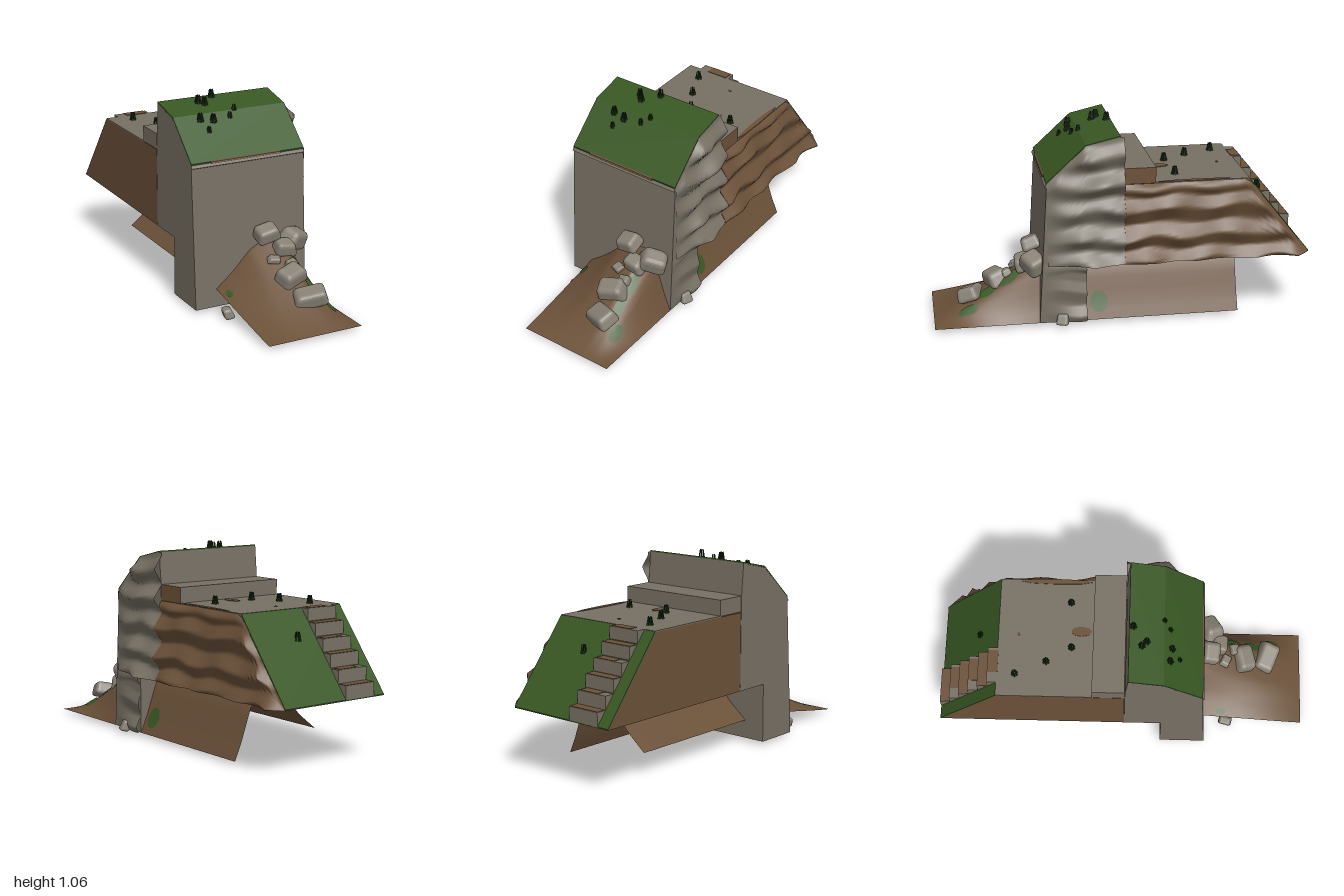
import * as THREE from 'three';
import { RoundedBoxGeometry } from 'three/addons/geometries/RoundedBoxGeometry.js';

const X0 = -0.37, X1 = 0.28, WIDTH = X1 - X0;

// Linear interpolation through [position, value] pairs
function lerpTable(table, p) {
  if (p <= table[0][0]) return table[0][1];
  for (let i = 1; i < table.length; i++) {
    const [a, va] = table[i - 1], [b, vb] = table[i];
    if (p <= b) return va + (vb - va) * (p - a) / (b - a);
  }
  return table[table.length - 1][1];
}

// Height of the ground sheet: a ridge along z that runs out at the front
const RIDGE = [[-0.25, 0.12], [-0.15, 0.2], [-0.05, 0.3], [0.05, 0.35], [0.12, 0.36], [0.18, 0.28], [0.24, 0.11], [0.28, 0.02]];
function groundHeight(x, z) {
  const fade = Math.pow(THREE.MathUtils.clamp((1 - z) / 0.58, 0, 1), 1.1);
  return 0.02 + (lerpTable(RIDGE, x) - 0.02) * fade;
}

// Top outline of the rampart along z
const TOP = [[-1, 0.34], [-0.66, 0.765], [0, 0.765], [0.02, 1.02], [0.2, 0.98], [0.405, 0.785], [0.45, 0.765]];

// Grid surface from a rule (u, v) -> [x, y, z]
function gridSurface(nu, nv, rule) {
  const pos = [], index = [];
  for (let j = 0; j <= nv; j++) for (let i = 0; i <= nu; i++) pos.push(...rule(i / nu, j / nv));
  for (let j = 0; j < nv; j++) for (let i = 0; i < nu; i++) {
    const a = j * (nu + 1) + i, b = a + 1, c = a + nu + 1, d = c + 1;
    index.push(a, b, d, a, d, c);
  }
  const g = new THREE.BufferGeometry();
  g.setAttribute('position', new THREE.Float32BufferAttribute(pos, 3));
  g.setIndex(index);
  g.computeVertexNormals();
  return g;
}

// Cross-section of [z, y] points pushed along x
function section(points, x = X0, width = WIDTH) {
  const shape = new THREE.Shape(points.map(([z, y]) => new THREE.Vector2(-z, y)));
  const g = new THREE.ExtrudeGeometry(shape, { depth: width, bevelEnabled: false });
  return g.rotateY(Math.PI / 2).translate(x, 0, 0);
}

export function createModel() {
  const root = new THREE.Group();
  const material = (name, color, side = THREE.FrontSide) => {
    const m = new THREE.MeshStandardMaterial({ color, side });
    m.name = name;
    return m;
  };
  const stone = material('stone', 0x777064, THREE.DoubleSide);
  const earth = material('earth', 0x6b5139, THREE.DoubleSide);
  const grass = material('grass', 0x385723, THREE.DoubleSide);
  const tuftGreen = material('tuftGreen', 0x1c3318);
  const boulderGrey = material('boulderGrey', 0x878074);
  const add = (name, geometry, mat, parent = root) => {
    const mesh = new THREE.Mesh(geometry, mat);
    mesh.name = name;
    parent.add(mesh);
    return mesh;
  };

  // Front wall with parapet, and the earth bank behind it
  add('frontWall', section([[0.45, 0.02], [0.405, 0.765], [0.415, 0.77], [0.405, 0.785], [0.2, 0.975], [0.02, 1.018],
    [0.005, 0.85], [0, 0.34], [0.2, 0.34], [0.2, 0.02]]), stone);
  add('earthBank', section([[0, 0.34], [0, 0.762], [-0.66, 0.762], [-1, 0.34]]), earth);

  // Firing step: stone, with earth showing on the cut end
  add('firingStep', new THREE.BoxGeometry(WIDTH, 0.085, 0.168), [earth, stone, stone, stone, stone, stone])
    .position.set((X0 + X1) / 2, 0.808, -0.082);
  add('walkway', section([[-0.16, 0.762], [-0.16, 0.768], [-0.665, 0.768], [-0.665, 0.762]]), stone);

  // Grass skins on the parapet and on the rear slope
  add('parapetGrass', section([[0.405, 0.785], [0.407, 0.793], [0.2, 0.984], [0.02, 1.026], [0.02, 1.018], [0.2, 0.976]]), grass);
  add('rearGrass', section([[-0.66, 0.762], [-0.664, 0.768], [-1, 0.346], [-1, 0.34]]), grass);
  add('crumbledLip', section([[0.4, 0.785], [0.414, 0.783], [0.411, 0.792], [0.4, 0.798]], -0.26, 0.4), earth);

  // Rear stair: stone risers with worn earth treads
  const stair = new THREE.Group();
  stair.name = 'rearStair';
  root.add(stair);
  for (let i = 0; i < 6; i++) {
    const top = 0.768 - i * 0.0705, back = -0.715 - i * 0.057;
    add('step', new THREE.BoxGeometry(0.19, 0.075, 0.06), stone, stair).position.set(-0.205, top - 0.0375, back + 0.03);
    const w = i % 2 ? 0.186 : 0.12;
    add('wornTread', new THREE.BoxGeometry(w, 0.004, 0.052), earth, stair).position.set(-0.205 + (i % 2 ? 0 : 0.02), top + 0.001, back + 0.029);
  }

  // Broken cut end on the +x side, jutting out in uneven strata
  const PEAKS = [[0.06, 0.04], [0.19, 0.03], [0.345, 0.075], [0.475, 0.07], [0.63, 0.062], [0.77, 0.085], [0.92, 0.06]];
  function jut(y, z, narrow) {
    let out = 0;
    for (const [p, size] of PEAKS) {
      const centre = p + 0.012 * Math.sin(z * 17 + p * 9);
      const fall = Math.max(0, 1 - Math.abs(y - centre) / narrow);
      out = Math.max(out, size * fall * (0.8 + 0.2 * Math.sin(z * 23 + p * 31)));
    }
    return out;
  }
  function cutEnd(name, mat, zFront, zBack, low, high, narrow, fade) {
    add(name, gridSurface(28, 40, (u, v) => {
      const z = zFront + (zBack - zFront) * u;
      const top = high(z), y = low + (top - low) * v;
      const edge = Math.min(1, (top - y) / 0.04);
      return [X1 + 0.001 + jut(y, z, narrow) * edge * fade(z), y, z];
    }), mat);
  }
  const frontFade = z => THREE.MathUtils.clamp((0.43 - z) / 0.2, 0, 1);
  cutEnd('cutStone', stone, 0.405, 0, 0.34, z => z < 0.02 ? 1.018 : lerpTable(TOP, z), 0.07, frontFade);
  cutEnd('cutStoneBase', stone, 0.43, 0.2, 0.02, () => 0.345, 0.06, z => frontFade(z) * 0.9);
  cutEnd('cutEarth', earth, 0, -0.998, 0.34, z => lerpTable(TOP, z), 0.075,
    z => THREE.MathUtils.clamp((z + 1) / 0.07, 0, 1) * (0.85 + 0.15 * Math.cos(z * 6)));

  // Ground ridge running under the wall
  add('ground', gridSurface(26, 50, (u, v) => {
    const x = -0.25 + 0.53 * u, z = 1 - 1.62 * v;
    return [x, groundHeight(x, z), z];
  }), earth);

  // Grass patches lying on the ground
  for (const [x, z, r] of [[0.2, 0.82, 0.035], [-0.225, 0.54, 0.02], [0.14, 0.6, 0.04], [0.15, 0.72, 0.035], [0.245, 0.13, 0.032]]) {
    const g = new THREE.CircleGeometry(r, 12).rotateX(-Math.PI / 2).scale(0.7, 1, 1.5).translate(x, 0, z);
    const p = g.attributes.position;
    for (let i = 0; i < p.count; i++) p.setY(i, groundHeight(p.getX(i), p.getZ(i)) + 0.006);
    g.computeVertexNormals();
    add('grassPatch', g, grass);
  }

  // Bare earth on the walkway and along its broken edge
  for (const [x, z, w, d] of [[-0.01, -0.23, 0.055, 0.11], [0.27, -0.37, 0.03, 0.38], [-0.03, -0.56, 0.02, 0.015]]) {
    add('barePatch', new THREE.CylinderGeometry(0.5, 0.5, 0.004, 8).scale(w, 1, d), earth).position.set(x, 0.769, z);
  }

  // Boulders: position, size, tilt
  const boulders = [
    [0.03, 0.385, 0.47, 0.12, 0.075, 0.1, 0.25], [0.19, 0.33, 0.47, 0.14, 0.1, 0.11, -0.45],
    [0.11, 0.31, 0.52, 0.11, 0.075, 0.09, -0.1], [0.025, 0.27, 0.56, 0.06, 0.028, 0.05, 0.05],
    [0.1, 0.25, 0.61, 0.06, 0.04, 0.05, 0.1], [0.065, 0.21, 0.665, 0.15, 0.095, 0.11, 0.08],
    [0.095, 0.14, 0.8, 0.17, 0.08, 0.11, 0.32], [-0.25, 0.032, 0.57, 0.05, 0.055, 0.07, 0.2],
    [-0.07, 0.02, 0.56, 0.07, 0.036, 0.06, 0.05], [0.11, 0.022, 0.52, 0.06, 0.038, 0.06, -0.1],
    [0.295, 0.04, 0.33, 0.045, 0.06, 0.06, 0.2]
  ];
  boulders.forEach(([x, y, z, w, h, d, tilt], i) => {
    const g = new RoundedBoxGeometry(w, h, d, 2, Math.min(w, h, d) * 0.27);
    // Lean and taper each block a little
    const p = g.attributes.position;
    for (let k = 0; k < p.count; k++) {
      const t = p.getY(k) / h;
      p.setX(k, p.getX(k) * (1 - 0.25 * t) + 0.012 * Math.sin(i * 2.4) * t);
      p.setZ(k, p.getZ(k) * (1 - 0.2 * t));
    }
    g.computeVertexNormals();
    const mesh = add('boulder', g, boulderGrey);
    mesh.position.set(x, y, z);
    mesh.rotation.set(y > 0.06 ? 0.35 : 0, 0.4 * Math.sin(i * 1.7), tilt);
  });

  // Grass tufts: a ring of short leaning blades
  const blade = new THREE.CylinderGeometry(0.003, 0.0065, 0.046, 4).translate(0, 0.023, 0);
  const tufts = [[-0.25, -0.57], [-0.18, -0.41], [-0.1, -0.28], [0.15, -0.29], [0.01, -0.775], [-0.07, 0.04], [-0.17, 0.085],
    [-0.145, 0.11], [-0.23, 0.23], [-0.16, 0.24], [-0.205, 0.28], [-0.06, 0.23], [-0.02, 0.2]];
  tufts.forEach(([x, z], n) => {
    const tuft = new THREE.Group();
    tuft.name = 'grassTuft';
    tuft.position.set(x, lerpTable(TOP, z), z);
    tuft.scale.setScalar([10, 11, 12].includes(n) ? 0.7 : 1);
    for (let i = 0; i < 6; i++) {
      const a = i * Math.PI / 3 + n;
      const mesh = add('blade', blade, tuftGreen, tuft);
      mesh.position.set(Math.cos(a) * 0.014, 0, Math.sin(a) * 0.014);
      mesh.rotation.set(-Math.sin(a) * 0.12, 0, Math.cos(a) * 0.12);
    }
    root.add(tuft);
  });
  return root;
}
